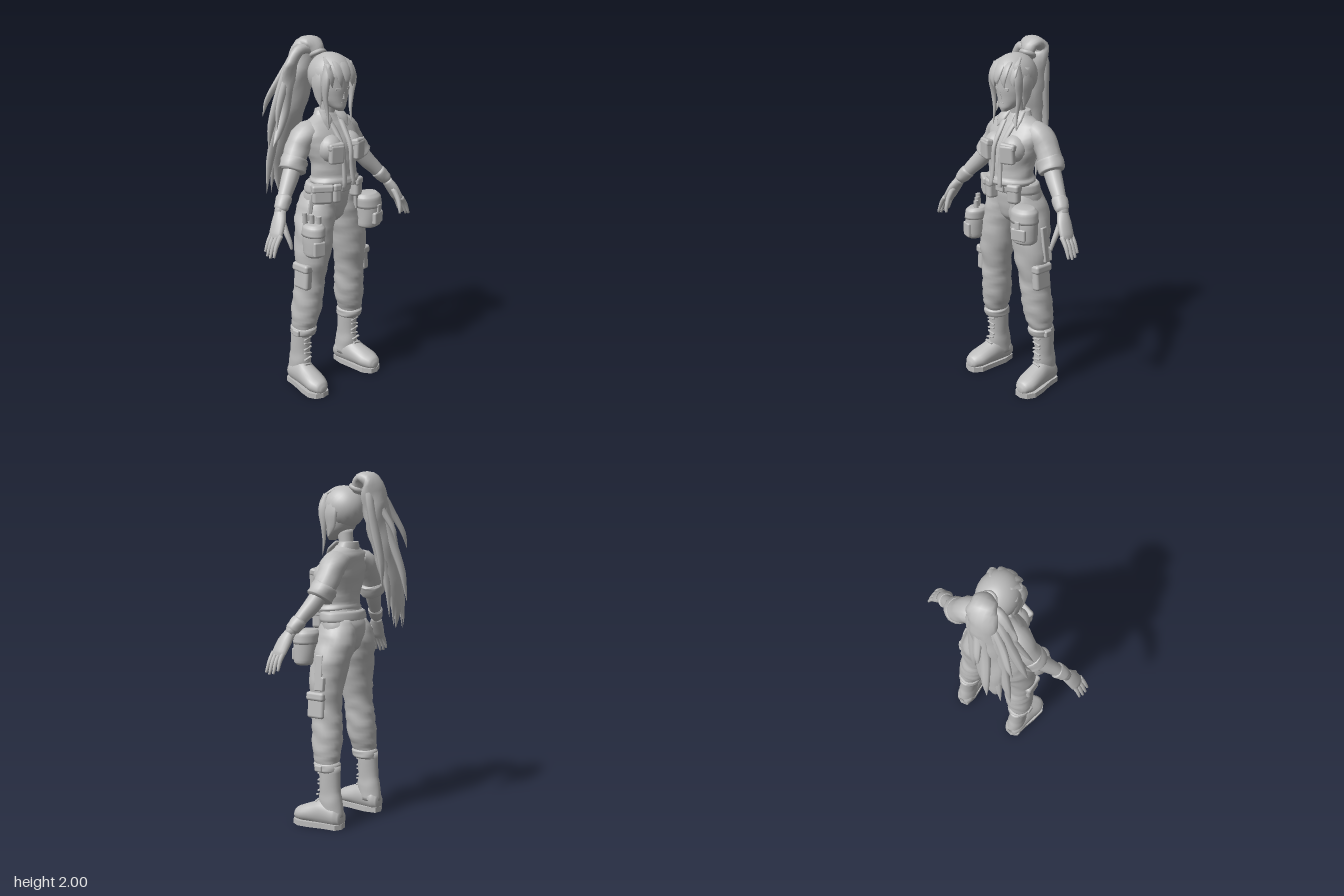
import * as THREE from 'three';
import { RoundedBoxGeometry } from 'three/addons/geometries/RoundedBoxGeometry.js';

const grey = new THREE.MeshStandardMaterial({ color: 0xbcbcbc, side: THREE.DoubleSide });
grey.name = 'plainGrey';
const X = new THREE.Vector3(1, 0, 0), Y = new THREE.Vector3(0, 1, 0), Z = new THREE.Vector3(0, 0, 1);

// Closed skin over elliptical sections [x, y, z, ru, rv]; ru lies along ref.
// With an axis every section is parallel, otherwise sections follow the path.
function loft(sections, { ref = X, axis = null, sides = 16, steps = 4, fold = 0 } = {}) {
  const path = new THREE.CatmullRomCurve3(sections.map((s) => new THREE.Vector3(s[0], s[1], s[2])));
  const size = new THREE.CatmullRomCurve3(sections.map((s) => new THREE.Vector3(s[3], s[4], 0)));
  const n = (sections.length - 1) * steps, pos = [], idx = [];
  for (let i = 0; i <= n; i++) {
    const t = i / n, c = path.getPoint(t), r = size.getPoint(t);
    const dir = axis ? axis.clone() : path.getTangent(t);
    const u = ref.clone().addScaledVector(dir, -ref.dot(dir)).normalize();
    const v = dir.clone().cross(u);
    for (let j = 0; j < sides; j++) {
      const a = (j / sides) * Math.PI * 2;
      const k = 1 + fold * Math.sin(i * 1.5 + 2.2 * Math.sin(a * 2 + i * 0.35));
      const p = c.clone().addScaledVector(u, Math.max(r.x, 0.001) * k * Math.cos(a))
        .addScaledVector(v, Math.max(r.y, 0.001) * k * Math.sin(a));
      pos.push(p.x, p.y, p.z);
    }
  }
  for (let i = 0; i < n; i++) for (let j = 0; j < sides; j++) {
    const a = i * sides + j, b = i * sides + ((j + 1) % sides);
    idx.push(a, b, b + sides, a, b + sides, a + sides);
  }
  const s = sections[0], e = sections[sections.length - 1], c0 = pos.length / 3;
  pos.push(s[0], s[1], s[2], e[0], e[1], e[2]);
  for (let j = 0; j < sides; j++) {
    const k = (j + 1) % sides;
    idx.push(c0, k, j, c0 + 1, n * sides + j, n * sides + k);
  }
  const g = new THREE.BufferGeometry();
  g.setAttribute('position', new THREE.Float32BufferAttribute(pos, 3));
  g.setIndex(idx);
  g.computeVertexNormals();
  return g;
}

export function createModel() {
  const root = new THREE.Group();
  const add = (name, geo, p = [0, 0, 0], rot = [0, 0, 0]) => {
    const m = new THREE.Mesh(geo, grey);
    m.name = name;
    m.position.set(...p);
    m.rotation.set(...rot);
    root.add(m);
  };
  const box = (name, w, h, d, p, rot) => add(name, new RoundedBoxGeometry(w, h, d, 2, Math.min(w, h, d) * 0.32), p, rot);
  const ball = (name, p, s) => add(name, new THREE.SphereGeometry(1, 20, 14).scale(...s), p);
  const flip = (s, pts) => pts.map(([x, ...rest]) => [x * s, ...rest]);
  const flat = { axis: Y, sides: 24 };

  // Trunk
  add('hips', loft([[0, 0.985, 0.06, 0.05, 0.06], [0, 1.02, 0.06, 0.12, 0.09], [0, 1.08, 0.058, 0.165, 0.107],
    [0, 1.14, 0.06, 0.166, 0.112], [0, 1.19, 0.07, 0.155, 0.1], [0, 1.24, 0.08, 0.135, 0.09]], flat));
  add('belt', loft([[0, 1.165, 0.07, 0.165, 0.108], [0, 1.18, 0.072, 0.17, 0.112], [0, 1.215, 0.077, 0.164, 0.11],
    [0, 1.225, 0.08, 0.15, 0.1]], flat));
  box('buckle', 0.06, 0.045, 0.02, [0, 1.195, 0.186]);
  add('jacket', loft([[0, 1.215, 0.105, 0.145, 0.112], [0, 1.235, 0.105, 0.152, 0.12], [0, 1.265, 0.102, 0.139, 0.11],
    [0, 1.33, 0.098, 0.142, 0.11], [0, 1.41, 0.084, 0.165, 0.112], [0, 1.48, 0.066, 0.182, 0.1],
    [0, 1.54, 0.046, 0.162, 0.08], [0, 1.575, 0.043, 0.095, 0.06], [0, 1.6, 0.045, 0.055, 0.045]],
    { ...flat, fold: 0.018 }));
  add('neck', loft([[0, 1.54, 0.045, 0.05, 0.045], [0, 1.6, 0.05, 0.042, 0.042], [0, 1.68, 0.06, 0.045, 0.045]], flat));
  add('collar', loft([[0, 1.555, 0.04, 0.092, 0.062], [0, 1.59, 0.036, 0.075, 0.055], [0, 1.612, 0.03, 0.064, 0.045]], flat));

  // Head
  add('face', loft([[0, 1.617, 0.148, 0.016, 0.02], [0, 1.64, 0.125, 0.046, 0.05], [0, 1.68, 0.095, 0.075, 0.08],
    [0, 1.74, 0.078, 0.092, 0.103], [0, 1.82, 0.072, 0.096, 0.108], [0, 1.88, 0.07, 0.06, 0.07]], flat));
  add('nose', new THREE.ConeGeometry(0.011, 0.04, 4), [0, 1.705, 0.176], [0.2, 0.78, 0]);
  box('mouth', 0.032, 0.005, 0.006, [0, 1.665, 0.171]);
  add('hairCap', new THREE.SphereGeometry(1, 28, 18, 0, Math.PI * 2, 0, 2.02).rotateX(-0.66).scale(0.113, 0.123, 0.132),
    [0, 1.8, 0.07]);
  for (let i = -2; i <= 2; i++) {
    const x = i * 0.037, z = 0.2 - x * x * 7;
    add('fringeLock', loft([[x * 0.6, 1.9, z - 0.075, 0.02, 0.008], [x * 0.9, 1.862, z - 0.025, 0.032, 0.01],
      [x * 1.05, 1.82, z - 0.002, 0.028, 0.009], [x * 1.1, 1.785, z + 0.004, 0.016, 0.007],
      [x * 1.1 + 0.008, 1.75 + (i === 0 ? 0.02 : 0), z + 0.003, 0.001, 0.001]], { sides: 10 }));
  }
  for (const s of [-1, 1]) {
    box('eye', 0.03, 0.014, 0.006, [s * 0.037, 1.74, 0.171], [0, s * 0.4, 0]);
    const lock = (...p) => add('sideLock', loft(flip(s, p), { sides: 8 }));
    lock([0.075, 1.87, 0.13, 0.02, 0.02], [0.1, 1.79, 0.14, 0.018, 0.03], [0.099, 1.7, 0.135, 0.013, 0.018],
      [0.088, 1.62, 0.14, 0.009, 0.01], [0.09, 1.53, 0.15, 0.001, 0.001]);
    lock([0.085, 1.85, 0.07, 0.02, 0.03], [0.106, 1.77, 0.08, 0.013, 0.045], [0.1, 1.7, 0.085, 0.012, 0.032],
      [0.1, 1.64, 0.1, 0.001, 0.001]);
  }

  // Ponytail: a thick core with loose locks swept to the model's right
  add('ponytailTie', new THREE.TorusGeometry(0.035, 0.014, 8, 16), [0, 1.905, -0.025], [1.1, 0, 0]);
  add('ponytailCore', loft([[0, 1.88, -0.02, 0.03, 0.03], [-0.005, 1.955, -0.05, 0.06, 0.035], [-0.02, 1.945, -0.105, 0.08, 0.045],
    [-0.04, 1.83, -0.115, 0.088, 0.065], [-0.07, 1.7, -0.125, 0.092, 0.062], [-0.105, 1.53, -0.15, 0.09, 0.05],
    [-0.13, 1.36, -0.18, 0.075, 0.035], [-0.15, 1.22, -0.195, 0.035, 0.018], [-0.155, 1.12, -0.185, 0.001, 0.001]],
    { fold: 0.06 }));
  // Tip x, y, z and width of each loose lock
  const tips = [[-0.3, 1.41, -0.1, 0.03], [-0.25, 1.13, -0.18, 0.032], [-0.29, 1.52, -0.04, 0.022], [-0.2, 1.12, -0.2, 0.03],
    [-0.08, 1.19, -0.19, 0.032], [-0.02, 1.36, -0.18, 0.03], [-0.26, 1.57, -0.19, 0.022], [-0.15, 1.28, -0.26, 0.03],
    [-0.11, 1.14, -0.2, 0.028], [-0.08, 1.6, -0.235, 0.022]];
  for (const [x, y, z, w] of tips) {
    const side = -0.03 + (x + 0.13) * 0.5, h = 1.9 - y;
    add('ponytailLock', loft([[-0.02, 1.95, -0.075, 0.02, 0.02], [side, 1.88, -0.08 + z * 0.22, w, w * 0.8],
      [side * 0.55 + x * 0.45, 1.9 - h * 0.4, -0.065 + z * 0.45, w * 1.1, w * 0.8],
      [x * 0.85 + side * 0.1, 1.9 - h * 0.75, -0.03 + z * 0.82, w * 0.85, w * 0.5], [x, y, z, 0.001, 0.001]], { sides: 8 }));
  }
  add('ponytailCurl', loft([[-0.02, 1.92, -0.05, 0.02, 0.02], [-0.09, 1.93, -0.065, 0.03, 0.03], [-0.145, 1.86, -0.075, 0.025, 0.035],
    [-0.17, 1.74, -0.08, 0.025, 0.035], [-0.19, 1.6, -0.09, 0.028, 0.03], [-0.25, 1.48, -0.08, 0.018, 0.02],
    [-0.3, 1.43, -0.06, 0.001, 0.001]], { ref: Z, sides: 10 }));

  for (const s of [-1, 1]) {
    const part = (name, pts, opt) => add(name, loft(flip(s, pts), opt));
    const armOpt = { ref: Z, sides: 16 };

    // Jacket front
    ball('bust', [s * 0.07, 1.415, 0.14], [0.075, 0.08, 0.074]);
    part('placket', [[0.035, 1.21, 0.222, 0.016, 0.01], [0.028, 1.32, 0.21, 0.014, 0.01], [0.03, 1.42, 0.2, 0.014, 0.012],
      [0.035, 1.51, 0.147, 0.018, 0.012], [0.045, 1.57, 0.1, 0.02, 0.01]], { sides: 8 });
    part('collarWing', [[0.05, 1.61, 0.07, 0.03, 0.01], [0.06, 1.57, 0.11, 0.035, 0.01], [0.075, 1.52, 0.135, 0.003, 0.003]], { sides: 8 });
    box('chestPocket', 0.085, 0.105, 0.04, [s * 0.085, 1.4, 0.208], [0.05, s * 0.3, 0]);
    box('chestPocketFlap', 0.091, 0.04, 0.046, [s * 0.085, 1.44, 0.204], [-0.2, s * 0.3, 0]);

    // Arm
    part('sleeve', [[0.07, 1.52, 0.04, 0.065, 0.045], [0.15, 1.485, 0.03, 0.076, 0.07], [0.205, 1.415, 0.026, 0.07, 0.066],
      [0.25, 1.34, 0.04, 0.066, 0.064]], { ...armOpt, fold: 0.03 });
    part('sleeveCuff', [[0.222, 1.375, 0.03, 0.062, 0.064], [0.228, 1.365, 0.032, 0.072, 0.076], [0.257, 1.315, 0.045, 0.072, 0.075],
      [0.263, 1.305, 0.047, 0.055, 0.06]], { ...armOpt, fold: 0.035 });
    part('forearm', [[0.25, 1.335, 0.045, 0.048, 0.05], [0.3, 1.27, 0.066, 0.045, 0.047], [0.35, 1.215, 0.09, 0.038, 0.04],
      [0.425, 1.125, 0.125, 0.03, 0.028]], armOpt);
    part('gloveCuff', [[0.362, 1.2, 0.095, 0.036, 0.034], [0.37, 1.19, 0.1, 0.045, 0.042], [0.405, 1.15, 0.117, 0.04, 0.036],
      [0.415, 1.137, 0.12, 0.03, 0.028]], { ...armOpt, fold: 0.03 });
    part('palm', [[0.415, 1.135, 0.122, 0.032, 0.027], [0.445, 1.085, 0.14, 0.045, 0.027], [0.475, 1.03, 0.152, 0.046, 0.022],
      [0.488, 1.005, 0.156, 0.036, 0.014]], armOpt);
    for (let i = 0; i < 4; i++) {
      const z = 0.122 + i * 0.023, reach = [0.82, 0.96, 1, 0.93][i];
      part('finger', [[0.475, 1.03, z, 0.013, 0.014], [0.475 + 0.035 * reach, 1.03 - 0.05 * reach, z + 0.002, 0.012, 0.012],
        [0.475 + 0.062 * reach, 1.03 - 0.115 * reach, z * 1.1 - 0.012, 0.007, 0.007]], { ref: Z, sides: 8 });
    }
    part('thumb', [[0.435, 1.085, 0.16, 0.018, 0.018], [0.437, 1.03, 0.195, 0.015, 0.015], [0.432, 0.985, 0.215, 0.012, 0.012],
      [0.428, 0.95, 0.222, 0.007, 0.007]], { ref: Z, sides: 8 });

    // Trouser leg, bloused above the boot
    part('trouserLeg', [[0.07, 1.18, 0.065, 0.07, 0.09], [0.084, 1.1, 0.056, 0.097, 0.116], [0.106, 1.01, 0.06, 0.11, 0.117],
      [0.128, 0.91, 0.074, 0.11, 0.106], [0.145, 0.79, 0.082, 0.102, 0.096], [0.155, 0.68, 0.075, 0.087, 0.084],
      [0.162, 0.6, 0.068, 0.084, 0.089], [0.168, 0.52, 0.062, 0.086, 0.089], [0.178, 0.44, 0.057, 0.08, 0.084],
      [0.187, 0.385, 0.052, 0.067, 0.073], [0.188, 0.345, 0.048, 0.055, 0.06]],
      { ...flat, fold: 0.036 });
    part('trouserCuff', [[0.187, 0.325, 0.04, 0.06, 0.07], [0.187, 0.335, 0.045, 0.07, 0.078], [0.187, 0.365, 0.05, 0.071, 0.08],
      [0.186, 0.378, 0.05, 0.06, 0.07]], { ...flat, fold: 0.02 });
    box('cuffTab', 0.03, 0.04, 0.05, [s * 0.25, 0.35, 0.06]);
    box('cargoPocket', 0.05, 0.14, 0.11, [s * 0.225, 0.7, 0.09], [0, 0, s * 0.08]);
    box('cargoFlap', 0.06, 0.05, 0.12, [s * 0.228, 0.755, 0.09], [0, 0, s * 0.08]);

    // Boot
    part('bootShaft', [[0.19, 0.07, 0.01, 0.055, 0.068], [0.192, 0.15, 0.022, 0.054, 0.074], [0.192, 0.22, 0.026, 0.05, 0.064],
      [0.19, 0.36, 0.032, 0.054, 0.066]], { ...flat, fold: 0.015 });
    part('bootFoot', [[0.19, 0.06, -0.055, 0.035, 0.04], [0.192, 0.075, -0.02, 0.056, 0.065], [0.2, 0.085, 0.06, 0.06, 0.078],
      [0.207, 0.075, 0.12, 0.064, 0.064], [0.214, 0.063, 0.185, 0.066, 0.05], [0.217, 0.053, 0.235, 0.044, 0.036],
      [0.217, 0.045, 0.25, 0.02, 0.016]], { axis: Z, sides: 20 });
    const sole = new THREE.Shape([[0.155, 0.05], [0.14, -0.02], [0.146, -0.12], [0.15, -0.2], [0.18, -0.247], [0.225, -0.253],
      [0.265, -0.235], [0.286, -0.19], [0.275, -0.12], [0.25, -0.03], [0.24, 0.04], [0.2, 0.06]]
      .map(([x, z]) => new THREE.Vector2(x * s, z)));
    add('sole', new THREE.ExtrudeGeometry(sole, { depth: 0.03, bevelEnabled: false }).rotateX(-Math.PI / 2));
    for (let i = 0; i < 6; i++) {
      const low = Math.max(0, 2 - i);
      box('lace', 0.055, 0.01, 0.014, [s * (0.193 + low * 0.005), 0.15 + i * 0.031, 0.09 + low * 0.006], [0, 0, i % 2 ? 0.2 : -0.2]);
    }
  }

  // Large rounded left hip pouch
  add('leftPouch', loft([[0.195, 0.925, 0.19, 0.06, 0.045], [0.196, 0.94, 0.19, 0.076, 0.062], [0.195, 1.03, 0.188, 0.08, 0.067],
    [0.19, 1.1, 0.184, 0.076, 0.062], [0.188, 1.118, 0.182, 0.06, 0.046]], { ...flat, fold: 0.01 }));
  add('leftPouchFlap', loft([[0.195, 1.045, 0.188, 0.083, 0.071], [0.19, 1.1, 0.184, 0.082, 0.068], [0.188, 1.125, 0.182, 0.06, 0.045]], flat));
  box('leftPouchBuckle', 0.03, 0.045, 0.012, [0.207, 1.04, 0.256], [0, 0.2, 0]);
  box('leftPouchPocket', 0.09, 0.07, 0.03, [0.208, 0.985, 0.244], [0, 0.25, 0]);
  box('leftPouchStrap', 0.025, 0.15, 0.02, [0.1, 1.12, 0.175], [0, 0.3, 0.1]);
  box('hangingStrap', 0.02, 0.2, 0.045, [0.235, 0.89, 0.07], [0, 0.2, 0.12]);
  box('hangingStrapEnd', 0.026, 0.08, 0.035, [0.238, 0.83, 0.045], [0, -0.3, 0.1]);

  // Rounded right hip pouch with small tools
  add('rightPouch', loft([[-0.225, 0.845, 0.175, 0.035, 0.045], [-0.223, 0.86, 0.175, 0.05, 0.064], [-0.222, 0.94, 0.172, 0.055, 0.068],
    [-0.218, 1.01, 0.168, 0.052, 0.064], [-0.216, 1.025, 0.166, 0.038, 0.05]], { ...flat, fold: 0.01 }));
  add('rightPouchFlap', loft([[-0.222, 0.965, 0.171, 0.058, 0.072], [-0.218, 1.01, 0.168, 0.057, 0.07], [-0.216, 1.03, 0.166, 0.04, 0.05]], flat));
  box('rightPouchPocket', 0.07, 0.085, 0.03, [-0.232, 0.9, 0.226], [0, -0.3, 0]);
  for (let i = 0; i < 3; i++) {
    add('pouchTool', new THREE.CylinderGeometry(0.014, 0.014, 0.1, 10), [-0.245 + i * 0.024, 1.04 - i * 0.01, 0.13 + i * 0.03], [0, 0, 0.08]);
  }
  box('rightPouchStrap', 0.025, 0.16, 0.02, [-0.185, 1.1, 0.11], [0, -0.6, -0.15]);

  // Small belt pouches
  for (const [x, z, turn, w] of [[-0.14, 0.155, -0.6, 0.115], [-0.068, 0.185, -0.2, 0.05], [0.1, 0.175, 0.35, 0.07]]) {
    box('beltPouch', w, 0.105, 0.06, [x, 1.175, z], [0, turn, 0]);
    box('beltPouchFlap', w * 1.06, 0.045, 0.066, [x, 1.21, z], [0, turn, 0]);
  }
  return root;
}
